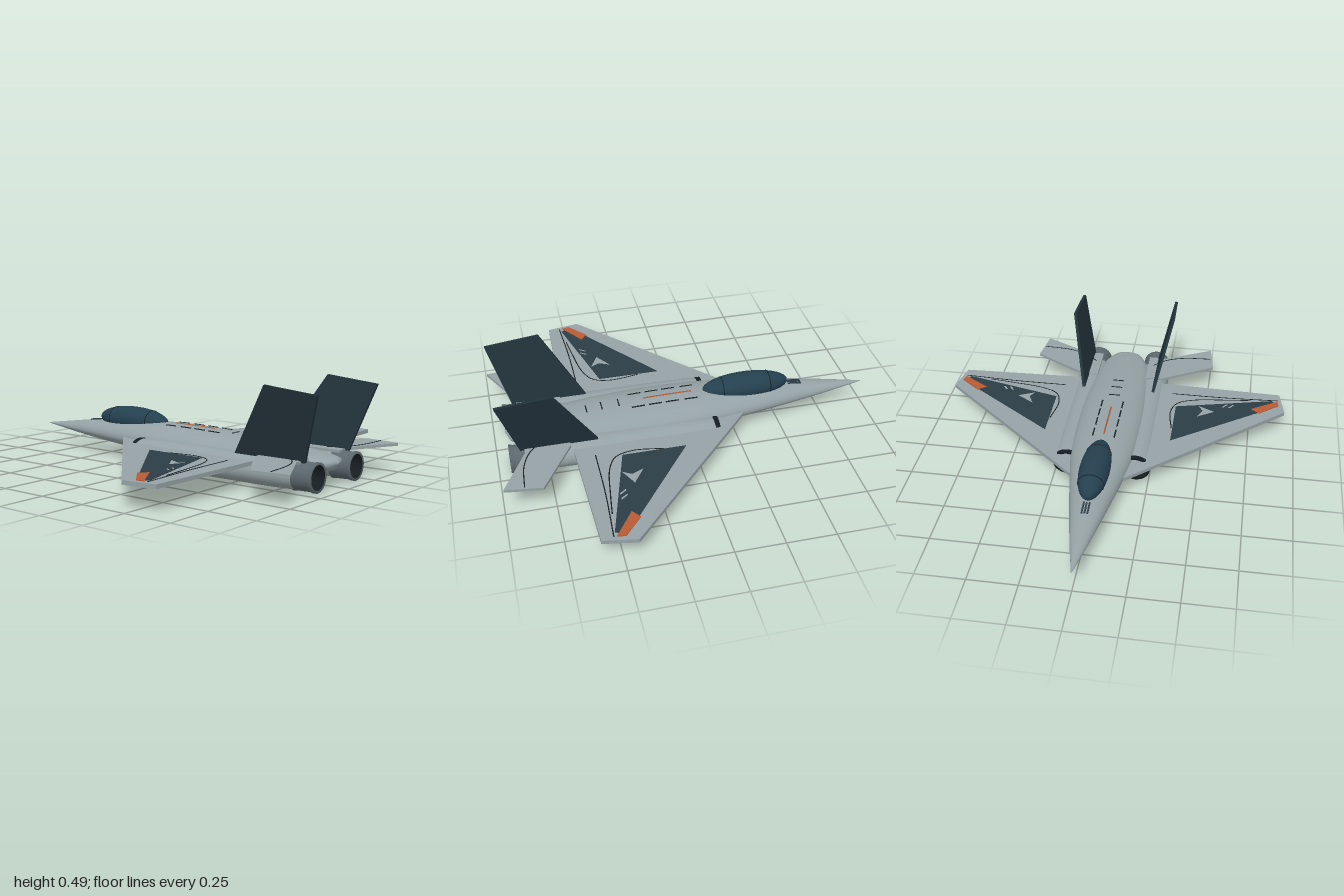
import * as THREE from 'three';
import { ParametricGeometry } from 'three/addons/geometries/ParametricGeometry.js';

const mat = (color, side = THREE.FrontSide) => new THREE.MeshStandardMaterial({ color, side });
const skin = mat(0x95a2a5), dark = mat(0x2b3d47), finDark = mat(0x22323a), glass = mat(0x24404f);
const orange = mat(0xb85a34), line = mat(0x1a2226), metal = mat(0x5c686e, THREE.DoubleSide);
const skinOpen = mat(0x95a2a5, THREE.DoubleSide), hollow = mat(0x161d21, THREE.DoubleSide);

// Fuselage stations: z, half-width, top, bottom
const stations = [
  [-1, 0.002, 0.119, 0.115], [-0.8, 0.045, 0.148, 0.093], [-0.6, 0.083, 0.176, 0.073],
  [-0.29, 0.138, 0.2, 0.052], [-0.1, 0.166, 0.208, 0.045], [0.15, 0.178, 0.207, 0.043],
  [0.4, 0.174, 0.197, 0.045], [0.6, 0.157, 0.18, 0.05], [0.78, 0.132, 0.16, 0.058],
  [0.88, 0.098, 0.147, 0.07], [0.93, 0.055, 0.135, 0.09], [0.945, 0.003, 0.12, 0.115],
];
const MID = 0.117;
const bodyCurve = new THREE.CubicInterpolant(
  new Float32Array(stations.map((s) => s[0])),
  new Float32Array(stations.flatMap((s) => s.slice(1))), 3);
const bodyAt = (z) => [...bodyCurve.evaluate(THREE.MathUtils.clamp(z, -1, 0.945))];
const bodyTop = (x, z) => {
  const [w, top] = bodyAt(z);
  return MID + (top - MID) * Math.sqrt(Math.max(0, 1 - (x / w) ** 2));
};

function createFuselage() {
  return new ParametricGeometry((u, v, p) => {
    const z = -1 + 1.945 * u, a = -v * Math.PI * 2;
    const [w, top, bottom] = bodyAt(z);
    const s = Math.sin(a);
    p.set(w * Math.cos(a), MID + s * (s > 0 ? top - MID : MID - bottom), z);
  }, 80, 40);
}

// Flat plate from [x, z] corners, with its upper face at y
function plateGeometry(corners, side, y, thickness, holes = []) {
  const points = (list) => list.map(([x, z]) => new THREE.Vector2(x * side, z));
  const shape = new THREE.Shape(points(corners));
  shape.holes = holes.map((h) => new THREE.Path(points(h)));
  return new THREE.ExtrudeGeometry(shape, { depth: thickness, bevelEnabled: false })
    .rotateX(Math.PI / 2).translate(0, y, 0);
}

function seamGeometry(points, side, y) {
  const curve = new THREE.CatmullRomCurve3(points.map(([x, z]) => new THREE.Vector3(x * side, y, z)));
  return new THREE.TubeGeometry(curve, 32, 0.003, 5);
}

// Turned part along z from [radius, z] points
const turned = (profile) => new THREE.LatheGeometry(
  profile.map(([r, z]) => new THREE.Vector2(r, z)), 40).rotateX(Math.PI / 2);

// Upright fin from [z, y] corners, leaning outward
function finGeometry(side) {
  const shape = new THREE.Shape([[0.49, 0.14], [0.71, 0.495], [0.99, 0.468], [0.885, 0.14]]
    .map(([z, y]) => new THREE.Vector2(z, y)));
  const lean = 0.235 * side;
  return new THREE.ExtrudeGeometry(shape, { depth: 0.016, bevelEnabled: false })
    .translate(0, 0, -0.008).rotateY(-Math.PI / 2)
    .applyMatrix4(new THREE.Matrix4().set(
      1, lean, 0, side * 0.2 - lean * 0.15, 0, 1, 0, 0, 0, 0, 1, 0, 0, 0, 0, 1));
}

export function createModel() {
  const model = new THREE.Group();
  model.name = 'jetAircraft';
  const add = (name, geometry, material, parent = model) => {
    const mesh = new THREE.Mesh(geometry, material);
    mesh.name = name;
    parent.add(mesh);
    return mesh;
  };

  add('fuselage', createFuselage(), skin);

  // Canopy with two hoops
  const canopy = new THREE.Group();
  canopy.name = 'canopy';
  canopy.position.set(0, 0.2, -0.335);
  model.add(canopy);
  add('canopyGlass', new THREE.SphereGeometry(1, 40, 28).scale(0.077, 0.07, 0.235), glass, canopy);
  for (const z of [-0.125, 0.13]) {
    const k = Math.sqrt(1 - (z / 0.235) ** 2);
    const hoop = add('canopyHoop', new THREE.TorusGeometry(1, 0.04, 6, 40), line, canopy);
    hoop.scale.set(0.077 * k, 0.07 * k, 0.07);
    hoop.position.z = z;
  }
  // Sensor prongs ahead of the canopy
  for (const x of [-0.014, 0, 0.014]) {
    const prong = add('noseProng', new THREE.BoxGeometry(0.008, 0.008, 0.075), dark);
    prong.position.set(x, bodyTop(x, -0.61), -0.61);
    prong.rotation.x = -0.1;
  }

  // Spine markings
  const spineStrip = (name, x, z0, z1, material) => {
    const path = [0, 0.5, 1].map((t) => {
      const z = z0 + (z1 - z0) * t;
      return new THREE.Vector3(x, bodyTop(x, z), z);
    });
    add(name, new THREE.TubeGeometry(new THREE.CatmullRomCurve3(path), 12, 0.004, 6), material);
  };
  spineStrip('spineStripe', 0, -0.04, 0.22, orange);
  for (const x of [-0.057, 0.057])
    for (const z of [-0.06, 0.04, 0.13, 0.22]) spineStrip('spineDash', x, z, z + 0.07, line);
  for (const z of [0.35, 0.44, 0.52])
    add('spineBar', new THREE.BoxGeometry(0.06, 0.005, 0.006), line).position.set(0, bodyTop(0.02, z), z);

  for (const side of [1, -1]) {
    const half = new THREE.Group();
    half.name = side > 0 ? 'leftSide' : 'rightSide';
    model.add(half);

    // Wing and its painted panels
    add('wing', plateGeometry([[0, -0.29], [0.14, -0.29], [0.94, 0.43], [0.91, 0.6], [0.2, 0.625], [0, 0.625]],
      side, 0.125, 0.02), skin, half);
    add('wingPanel', plateGeometry([[0.34, 0.07], [0.34, 0.395], [0.87, 0.53], [0.9, 0.48]], side, 0.128, 0.004, [
      [[0.46, 0.31], [0.56, 0.375], [0.46, 0.425], [0.49, 0.375]],
      [[0.59, 0.425], [0.605, 0.425], [0.63, 0.46], [0.615, 0.46]],
      [[0.625, 0.425], [0.64, 0.425], [0.665, 0.46], [0.65, 0.46]],
    ]), dark, half);
    add('wingTipPanel', plateGeometry([[0.755, 0.43], [0.8, 0.395], [0.908, 0.485], [0.9, 0.525]],
      side, 0.13, 0.004), orange, half);
    add('wingSeam', seamGeometry([[0.335, 0.18], [0.315, 0.34], [0.345, 0.43], [0.43, 0.475], [0.62, 0.505],
      [0.75, 0.52]], side, 0.125), line, half);
    add('flapSeam', seamGeometry([[0.31, 0.525], [0.6, 0.526], [0.9, 0.54]], side, 0.125), line, half);

    // Tailplane
    add('tailplane', plateGeometry([[0.14, 0.63], [0.23, 0.635], [0.52, 0.805], [0.495, 0.995], [0.24, 0.865],
      [0.14, 0.865]], side, 0.15, 0.014), skin, half);
    add('tailSeam', seamGeometry([[0.17, 0.775], [0.24, 0.84], [0.34, 0.88], [0.5, 0.895]], side, 0.15), line, half);

    add('fin', finGeometry(side), finDark, half);

    // Engine: nacelle, intake and nozzle
    const engine = new THREE.Group();
    engine.name = 'engine';
    engine.position.set(side * 0.18, 0.075, 0);
    half.add(engine);
    const nacelle = add('nacelle', turned([[0.064, -0.13], [0.068, -0.09], [0.071, 0.05], [0.071, 0.6],
      [0.069, 0.76], [0.066, 0.84]]), skinOpen, engine);
    nacelle.scale.x = 1.17;
    const lip = add('intakeLip', turned([[0.056, -0.12], [0.057, -0.14], [0.069, -0.14], [0.071, -0.12],
      [0.066, -0.115]]), line, engine);
    lip.material = hollow;
    lip.scale.x = 1.1;
    add('intakeDuct', turned([[0.06, -0.135], [0.056, -0.06], [0.001, -0.06]]), hollow, engine).scale.x = 1.1;
    const nozzle = new THREE.Group();
    nozzle.name = 'nozzle';
    nozzle.position.x = side * -0.005;
    engine.add(nozzle);
    add('nozzleShell', turned([[0.066, 0.82], [0.073, 0.825], [0.07, 0.85], [0.068, 0.92], [0.072, 0.925],
      [0.072, 0.94], [0.06, 0.94]]), metal, nozzle);
    add('nozzleBore', turned([[0.061, 0.939], [0.05, 0.83], [0.001, 0.83]]), hollow, nozzle);
  }
  return model;
}
